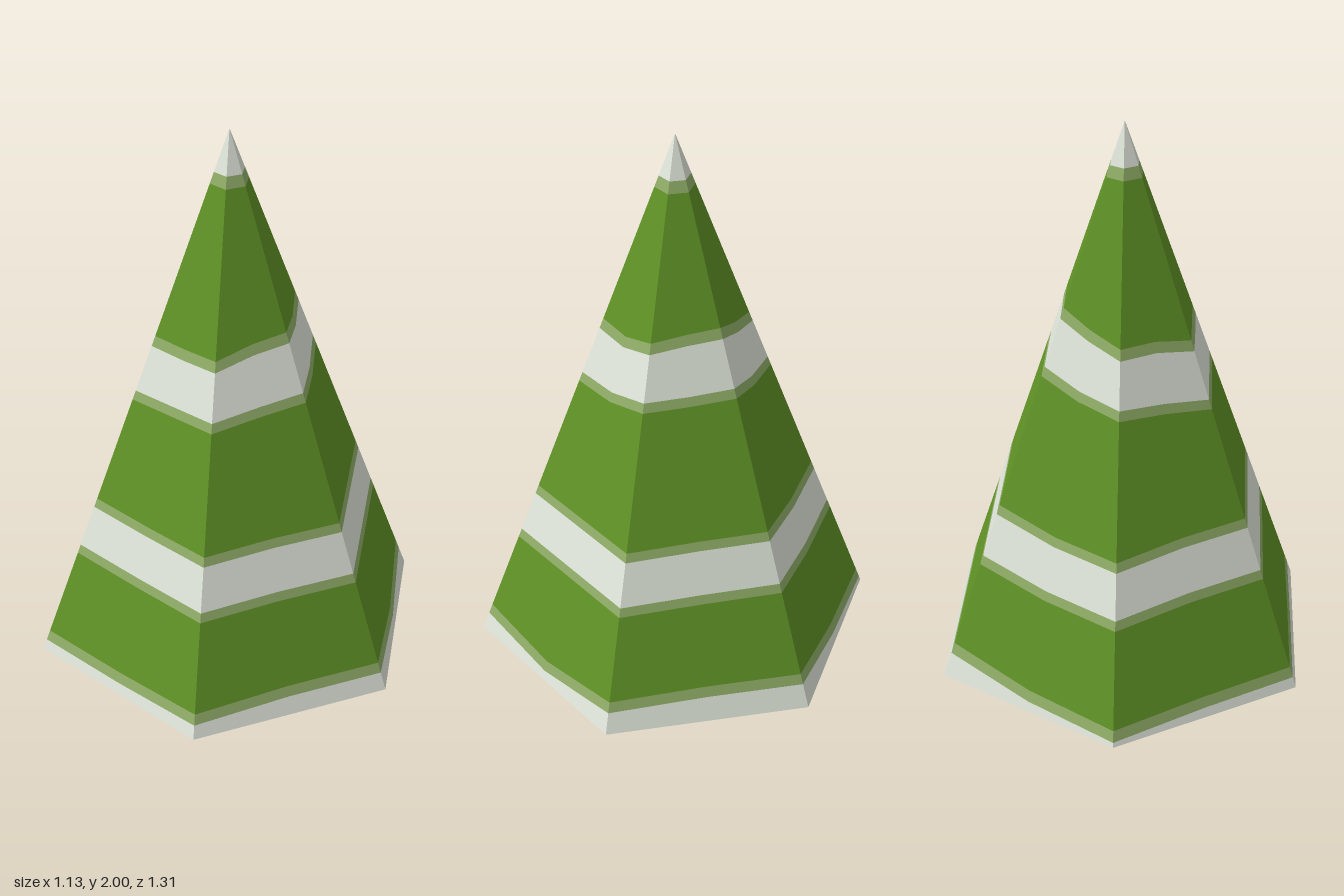
import * as THREE from 'three';

const TOP = 2, BASE = 0.22, RADIUS = 0.655;

const colour = (name, hex, side = THREE.FrontSide) => {
  const m = new THREE.MeshStandardMaterial({ color: hex, flatShading: true, side });
  m.name = name;
  return m;
};

// Point on the six-sided cone: even steps are corners, odd steps are face middles
function conePoint(step, y) {
  const a = (step * Math.PI) / 6;
  const r = ((TOP - y) / (TOP - BASE)) * RADIUS * (step % 2 ? Math.cos(Math.PI / 6) : 1);
  return [r * Math.sin(a), y, r * Math.cos(a)];
}

// Strip of the cone between two wavy height lines
function coneStrip(low, high) {
  const pos = [];
  for (let i = 0; i < 12; i++) {
    const j = (i + 1) % 12;
    const a = conePoint(i, low[i]), b = conePoint(j, low[j]);
    const c = conePoint(j, high[j]), d = conePoint(i, high[i]);
    pos.push(...a, ...b, ...c);
    if (high[i] < TOP) pos.push(...a, ...c, ...d);
  }
  const g = new THREE.BufferGeometry();
  g.setAttribute('position', new THREE.Float32BufferAttribute(pos, 3));
  g.computeVertexNormals();
  return g;
}

export function createModel() {
  const group = new THREE.Group();
  const green = colour('needle green', 0x5f9226);
  const pale = colour('frosted green', 0x90ad68);
  const snow = colour('snow white', 0xe0e6db);
  const brown = colour('trunk brown', 0x8a4b10);

  const add = (name, geometry, material) => {
    const mesh = new THREE.Mesh(geometry, material);
    mesh.name = name;
    group.add(mesh);
    return mesh;
  };

  // Height lines round the tree, from the front corner towards +x
  const level = (y) => Array(12).fill(y);
  const shift = (line, d) => line.map((y) => y + d);
  const hem = [0.28, 0.25, 0.29, 0.3, 0.3, 0.25, 0.235, 0.25, 0.255, 0.255, 0.265, 0.28];
  const midTop = [0.765, 0.765, 0.765, 0.775, 0.78, 0.745, 0.735, 0.755, 0.76, 0.755, 0.755, 0.765];
  const midLow = shift(midTop, -0.14);
  const upTop = [1.37, 1.36, 1.385, 1.4, 1.41, 1.37, 1.34, 1.34, 1.32, 1.32, 1.325, 1.355];
  const upLow = [1.215, 1.215, 1.245, 1.25, 1.26, 1.22, 1.2, 1.19, 1.17, 1.175, 1.18, 1.2];

  // Each strip runs from the previous line up to its own line
  const strips = [
    ['hemSnow', snow, hem],
    ['hemFrost', pale, shift(hem, 0.035)],
    ['lowerNeedles', green, shift(midLow, -0.03)],
    ['middleFrostBelow', pale, midLow],
    ['middleSnow', snow, midTop],
    ['middleFrostAbove', pale, shift(midTop, 0.03)],
    ['middleNeedles', green, shift(upLow, -0.03)],
    ['upperFrostBelow', pale, upLow],
    ['upperSnow', snow, upTop],
    ['upperFrostAbove', pale, shift(upTop, 0.033)],
    ['upperNeedles', green, level(1.835)],
    ['tipFrost', pale, level(1.87)],
    ['tipSnow', snow, level(TOP)],
  ];
  let low = level(BASE);
  for (const [name, material, high] of strips) {
    add(name, coneStrip(low, high), material);
    low = high;
  }

  // Underside of the branches
  const under = new THREE.CircleGeometry(RADIUS, 6, Math.PI / 2);
  under.rotateX(Math.PI / 2);
  add('underside', under, green).position.y = BASE;

  // Six-sided trunk
  const trunk = new THREE.CylinderGeometry(0.173, 0.173, BASE, 6);
  add('trunk', trunk, brown).position.y = BASE / 2;

  return group;
}
